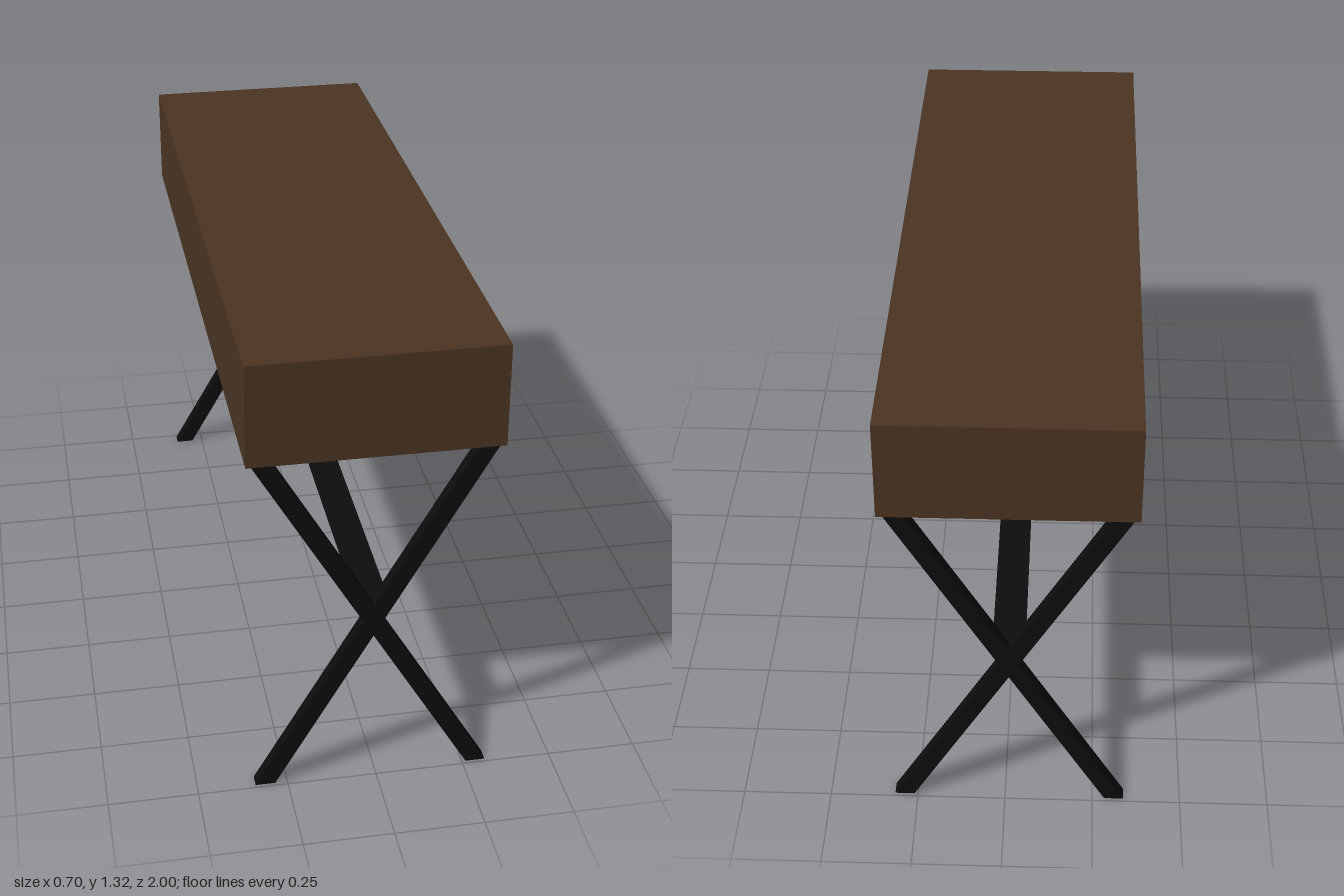
import * as THREE from 'three';

export function createModel() {
  const model = new THREE.Group();
  const wood = new THREE.MeshStandardMaterial({ color: 0x4b3523 });
  const black = new THREE.MeshStandardMaterial({ color: 0x0d0d0d });
  wood.name = 'dark wood';
  black.name = 'black metal';

  const add = (name, geometry, material, x = 0, y = 0, z = 0) => {
    const mesh = new THREE.Mesh(geometry, material);
    mesh.name = name;
    mesh.position.set(x, y, z);
    model.add(mesh);
    return mesh;
  };
  const box = (name, material, [x0, x1], [y0, y1], [z0, z1]) =>
    add(name, new THREE.BoxGeometry(x1 - x0, y1 - y0, z1 - z0), material,
      (x0 + x1) / 2, (y0 + y1) / 2, (z0 + z1) / 2);
  const polygon = (points) => new THREE.Shape(points.map(([x, y]) => new THREE.Vector2(x, y)));
  const rect = (cx, w, y0, y1) =>
    [[cx - w / 2, y0], [cx + w / 2, y0], [cx + w / 2, y1], [cx - w / 2, y1]];
  const extrude = (shape, depth) =>
    new THREE.ExtrudeGeometry(shape, { depth, bevelEnabled: false });

  const back = -0.352, face = 0.328, bottom = 1.03, top = 1.32, recess = 0.012;
  const drawerCentres = [-0.668, 0, 0.668];

  // Case, with the face frame in front of it
  box('case', wood, [back, face - recess], [bottom, top], [-1, 1]);
  const frame = polygon(rect(0, 2, bottom, top));
  for (const c of drawerCentres) frame.holes.push(polygon(rect(c, 0.614, 1.053, 1.297)));
  add('faceFrame', extrude(frame, recess), wood, face - recess).rotation.y = Math.PI / 2;

  // Drawers set into the frame with a narrow groove around, and their pulls
  for (const c of drawerCentres) {
    box('drawerFront', wood, [face - recess, face], [1.063, 1.287], [c - 0.297, c + 0.297]);
    box('drawerPull', black, [face, 0.35], [1.104, 1.134], [c - 0.052, c + 0.052]);
  }

  // Crossed legs at both ends, cut level at floor and case
  const cx = -0.012, half = 0.3, w = 0.055;
  for (const z of [-0.99, 0.953]) {
    for (const s of [-1, 1]) {
      const a = cx + s * half, b = cx - s * half;
      const leg = polygon([[a - w / 2, 0], [a + w / 2, 0], [b + w / 2, bottom], [b - w / 2, bottom]]);
      add('leg', extrude(leg, 0.037), black, 0, 0, z);
    }
  }

  // Stretcher resting in the crossing of the legs
  const bar = polygon([[cx - 0.03, 0.518], [cx + 0.03, 0.518], [cx + 0.045, 0.566], [cx - 0.045, 0.566]]);
  add('stretcher', extrude(bar, 1.92), black, 0, 0, -0.96);

  return model;
}
